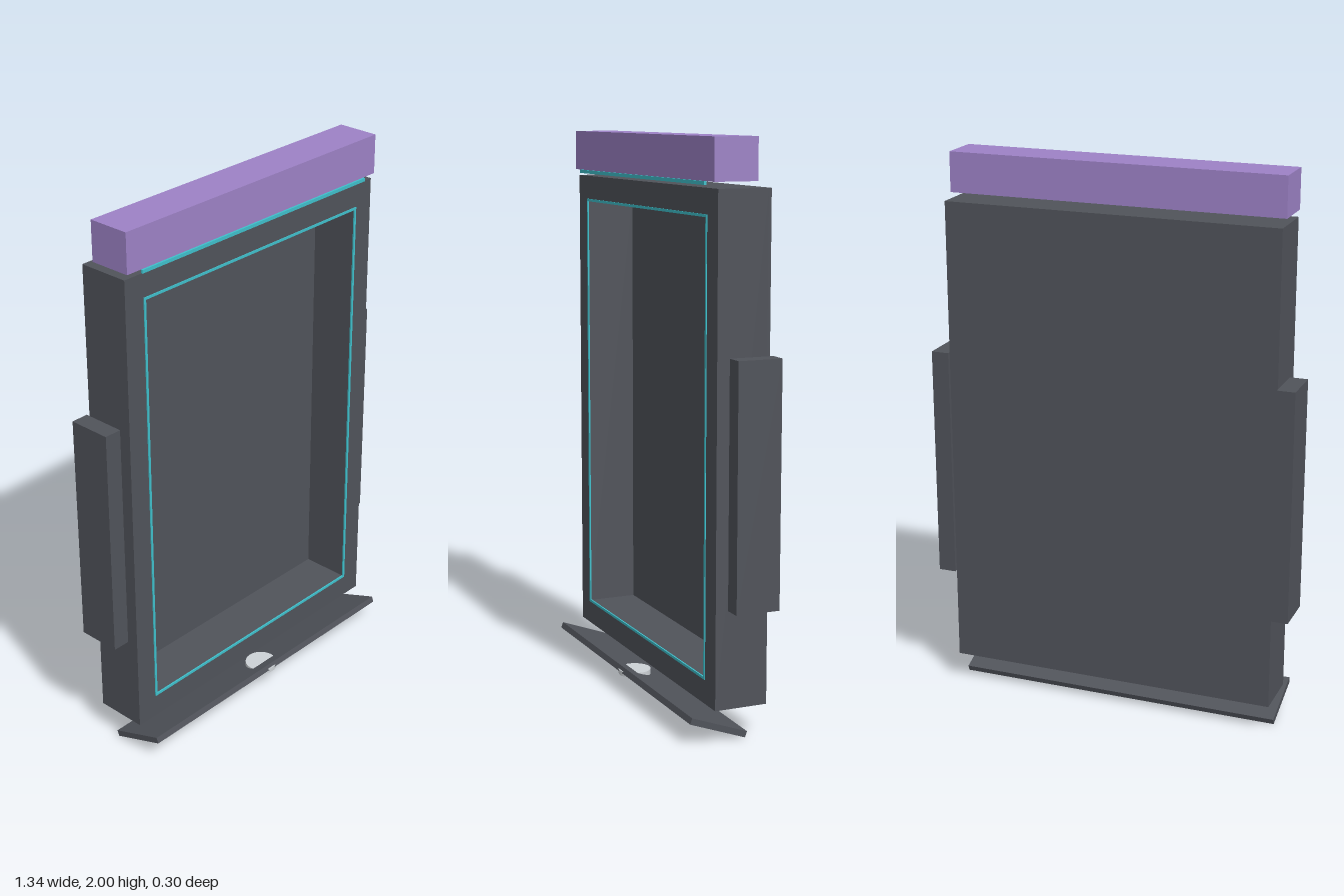
import * as THREE from 'three';

const mat = (name, color, extra = {}) => {
  const m = new THREE.MeshStandardMaterial({ color, ...extra });
  m.name = name;
  return m;
};

// Rectangle outline centred on (0, cy)
function trace(path, w, h, cy) {
  path.moveTo(-w / 2, cy - h / 2);
  path.lineTo(w / 2, cy - h / 2);
  path.lineTo(w / 2, cy + h / 2);
  path.lineTo(-w / 2, cy + h / 2);
  path.closePath();
  return path;
}

// Rectangular ring extruded along z
function ring(w, h, innerW, innerH, cy, depth) {
  const shape = trace(new THREE.Shape(), w, h, cy);
  shape.holes.push(trace(new THREE.Path(), innerW, innerH, cy));
  return new THREE.ExtrudeGeometry(shape, { depth, bevelEnabled: false });
}

export function createModel() {
  const model = new THREE.Group();
  const grey = mat('slate grey', 0x50535a);
  const purple = mat('lavender', 0x9d82c6);
  const cyan = mat('cyan trim', 0x3fc0cc);
  const silver = mat('pale silver', 0xcdd2d6);

  const add = (name, geometry, material, x = 0, y = 0, z = 0) => {
    const mesh = new THREE.Mesh(geometry, material);
    mesh.name = name;
    mesh.position.set(x, y, z);
    model.add(mesh);
    return mesh;
  };
  const box = (name, material, w, h, d, x, y, z) =>
    add(name, new THREE.BoxGeometry(w, h, d), material, x, y, z);

  // Deep open-fronted cabinet with a thin back
  const cy = 0.973;
  add('cabinetFrame', ring(1.21, 1.726, 1.04, 1.546, cy, 0.18), grey, 0, 0, -0.125);
  box('cabinetBack', grey, 1.21, 1.726, 0.01, 0, cy, -0.13);

  // Thin trim around the opening
  add('openingTrim', ring(1.05, 1.556, 1.032, 1.538, cy, 0.005), cyan, 0, 0, 0.053);

  // Header block with its light strip beneath
  box('header', purple, 1.21, 0.142, 0.155, 0, 1.929, -0.009);
  box('headerStrip', cyan, 1.09, 0.012, 0.008, 0, 1.852, 0.072);

  // Side pods
  for (const side of [1, -1]) {
    box(side > 0 ? 'leftPod' : 'rightPod', grey, 0.064, 0.842, 0.158, side * 0.637, 0.871, -0.069);
  }

  // Tilted tray, rising to the front
  const tray = box('tray', grey, 1.21, 0.022, 0.216, 0, 0.05, 0.041);
  tray.rotation.x = -0.35;

  // Level disc set through the tray
  add('trayDisc', new THREE.CylinderGeometry(0.058, 0.058, 0.018, 32), silver, 0, 0.075, 0.09);

  return model;
}
